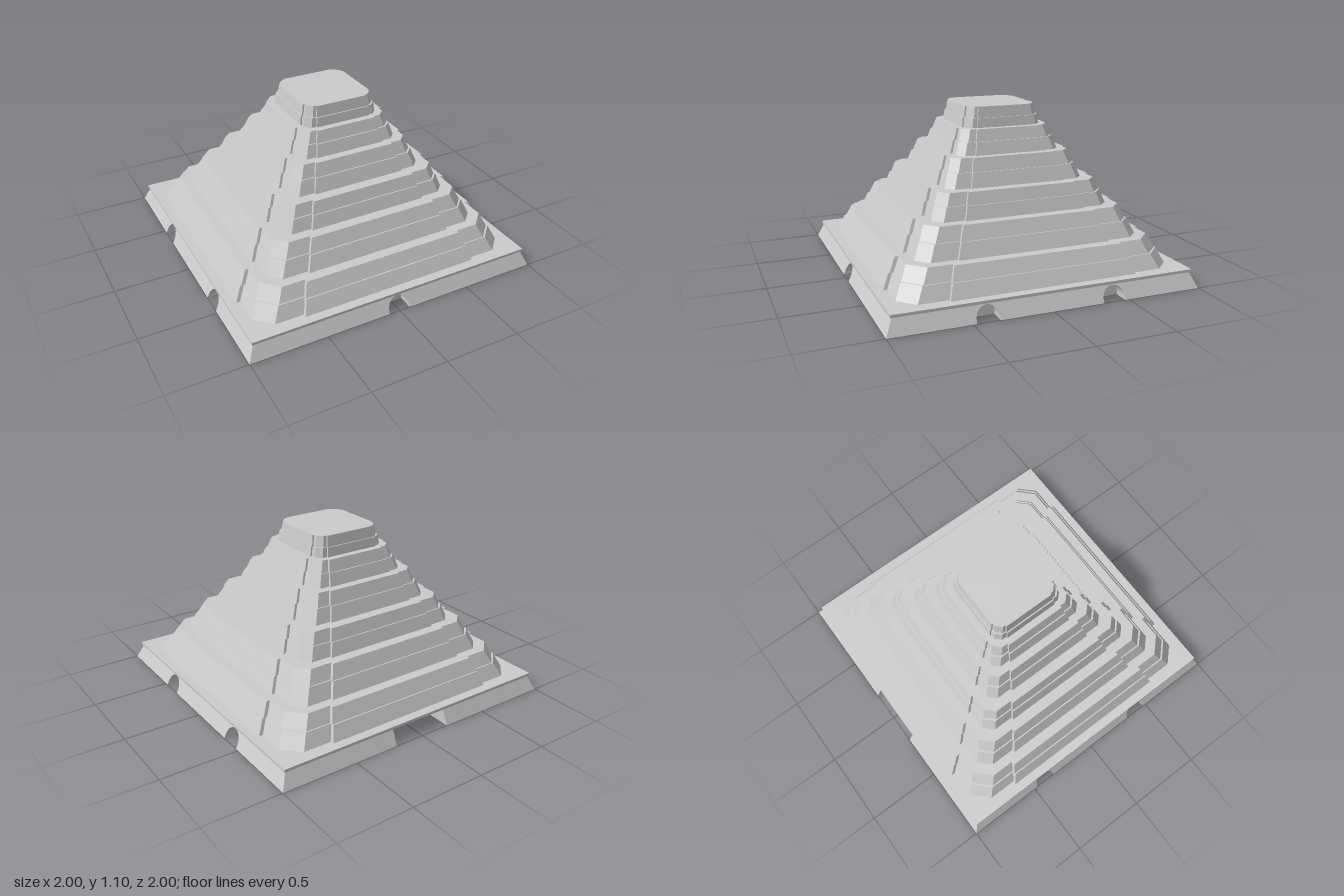
import * as THREE from 'three';
import { mergeGeometries } from 'three/addons/utils/BufferGeometryUtils.js';

const stone = new THREE.MeshStandardMaterial({ color: 0xcccccc, flatShading: true });
const stoneThin = new THREE.MeshStandardMaterial({ color: 0xcccccc, flatShading: true, side: THREE.DoubleSide });

function part(name, geometry, material = stone) {
  const mesh = new THREE.Mesh(geometry, material);
  mesh.name = name;
  return mesh;
}

// Connects equal-length loops of points into bands; optionally caps the last one.
function loft(loops, { closed = true, cap = true } = {}) {
  const pos = [];
  const tri = (...pts) => pts.forEach((p) => pos.push(...p));
  const n = loops[0].length;
  const last = closed ? n : n - 1;
  for (let i = 0; i < loops.length - 1; i++) {
    for (let j = 0; j < last; j++) {
      const k = (j + 1) % n;
      const [a, b, c, d] = [loops[i][j], loops[i][k], loops[i + 1][k], loops[i + 1][j]];
      tri(a, b, c);
      tri(a, c, d);
    }
  }
  if (cap) {
    const top = loops[loops.length - 1];
    const centre = [0, top[0][1], 0];
    top.forEach((p, j) => tri(centre, p, top[(j + 1) % n]));
  }
  const g = new THREE.BufferGeometry();
  g.setAttribute('position', new THREE.Float32BufferAttribute(pos, 3));
  g.computeVertexNormals();
  return g;
}

// Turns a point of the front side to side k (0 front, 1 left, 2 back, 3 right).
function turn(u, z, k) {
  const c = [1, 0, -1, 0][k], s = [0, 1, 0, -1][k];
  return [u * c + z * s, z * c - u * s];
}

// Tier outline: a proud panel on each side, set-back corners with a chamfer.
function tierLoop(y, h, panel, recess, chamfer) {
  const e = h - recess;
  const side = [[-panel, e], [-panel, h], [panel, h], [panel, e], [e - chamfer, e], [e, e - chamfer]];
  const loop = [];
  for (let k = 0; k < 4; k++) {
    for (const [u, z] of side) {
      const [x, zz] = turn(u, z, k);
      loop.push([x, y, zz]);
    }
  }
  return loop;
}

// Each tier tapers in two courses with a tiny ledge between them.
function tierGeometry({ y, h, panel, recess, chamfer, mid = 0.52 }) {
  const at = (t, inset) => tierLoop(
    THREE.MathUtils.lerp(y[0], y[1], t),
    THREE.MathUtils.lerp(h[0], h[1], t) + inset,
    THREE.MathUtils.lerp(panel[0], panel[1], t), recess, chamfer);
  return loft([at(0, 0), at(mid, 0.004), at(mid, -0.004), at(1, 0)]);
}

const BASE_TOP = 0.1;
const wallZ = (y) => 1 - 0.045 * (y / BASE_TOP);

// Opening outline in (u, y), from its left foot to its right foot.
function openingOutline({ u, w, arched }) {
  if (!arched) return [[u - w, 0], [u - w, 0.095], [u + w, 0.095], [u + w, 0]];
  const pts = [[u - w, 0]];
  for (let i = 0; i <= 12; i++) {
    const a = Math.PI * (1 - i / 12);
    pts.push([u + w * Math.cos(a), 0.02 + w * Math.sin(a)]);
  }
  pts.push([u + w, 0]);
  return pts;
}

const toShape = (pts) => new THREE.Shape(pts.map((p) => new THREE.Vector2(p[0], p[1])));

export function createModel() {
  const group = new THREE.Group();
  group.name = 'steppedPyramid';

  // Openings in the base, side by side
  const arch = (u) => ({ u, w: 0.072, depth: 0.1, arched: true });
  const sides = [
    [arch(0)],
    [arch(-0.405), arch(0.405)],
    [{ u: 0, w: 0.2, depth: 0.27, arched: false }],
    [arch(-0.405), arch(0.405)],
  ];

  // Sloping base walls with their recesses
  const base = new THREE.Group();
  base.name = 'base';
  const floor = [];
  const sideNames = ['front', 'left', 'back', 'right'];
  sides.forEach((openings, k) => {
    const outline = [[-1, 0]];
    floor.push(turn(-1, 1, k));
    const linings = [];
    for (const o of openings) {
      const pts = openingOutline(o);
      const inner = 1 - o.depth;
      outline.push(...pts);
      linings.push(
        loft([pts.map(([u, y]) => [u, y, wallZ(y)]), pts.map(([u, y]) => [u, y, inner])],
          { closed: false, cap: false }),
        new THREE.ShapeGeometry(toShape(pts)).translate(0, 0, inner).toNonIndexed());
      linings.forEach((g) => g.deleteAttribute('uv'));
      floor.push(turn(o.u - o.w, 1, k), turn(o.u - o.w, inner, k),
        turn(o.u + o.w, inner, k), turn(o.u + o.w, 1, k));
    }
    outline.push([1, 0], [wallZ(BASE_TOP), BASE_TOP], [-wallZ(BASE_TOP), BASE_TOP]);

    const wall = new THREE.ShapeGeometry(toShape(outline));
    const p = wall.attributes.position;
    for (let i = 0; i < p.count; i++) p.setZ(i, wallZ(p.getY(i)));
    wall.computeVertexNormals();

    const side = new THREE.Group();
    side.name = sideNames[k] + 'BaseSide';
    side.add(part('wall', wall), part('recessLining', mergeGeometries(linings), stoneThin));
    side.rotation.y = k * Math.PI / 2;
    base.add(side);
  });

  // Underside, notched at every opening
  base.add(part('underside', new THREE.ShapeGeometry(toShape(floor)).rotateX(Math.PI / 2)));

  // Projecting slab on top of the base
  base.add(part('slab', new THREE.BoxGeometry(1.935, 0.018, 1.935).translate(0, 0.109, 0)));
  group.add(base);

  // Receding tiers: [bottom, top] height, half width and half panel length
  const tiers = [
    { y: [0.115, 0.295], h: [0.91, 0.82], panel: [0.6, 0.545], recess: 0.024, chamfer: 0.1 },
    { y: [0.295, 0.48], h: [0.755, 0.672], panel: [0.495, 0.435], recess: 0.021, chamfer: 0.075 },
    { y: [0.48, 0.64], h: [0.605, 0.545], panel: [0.395, 0.355], recess: 0.018, chamfer: 0.06 },
    { y: [0.64, 0.815], h: [0.478, 0.412], panel: [0.31, 0.27], recess: 0.016, chamfer: 0.05 },
    { y: [0.815, 0.97], h: [0.36, 0.305], panel: [0.235, 0.205], recess: 0.014, chamfer: 0.045 },
    { y: [0.97, 1.1], h: [0.262, 0.235], panel: [0.185, 0.17], recess: 0.01, chamfer: 0.035, mid: 0.46 },
  ];
  tiers.forEach((t, i) => group.add(part('tier' + (i + 1), tierGeometry(t))));

  return group;
}
